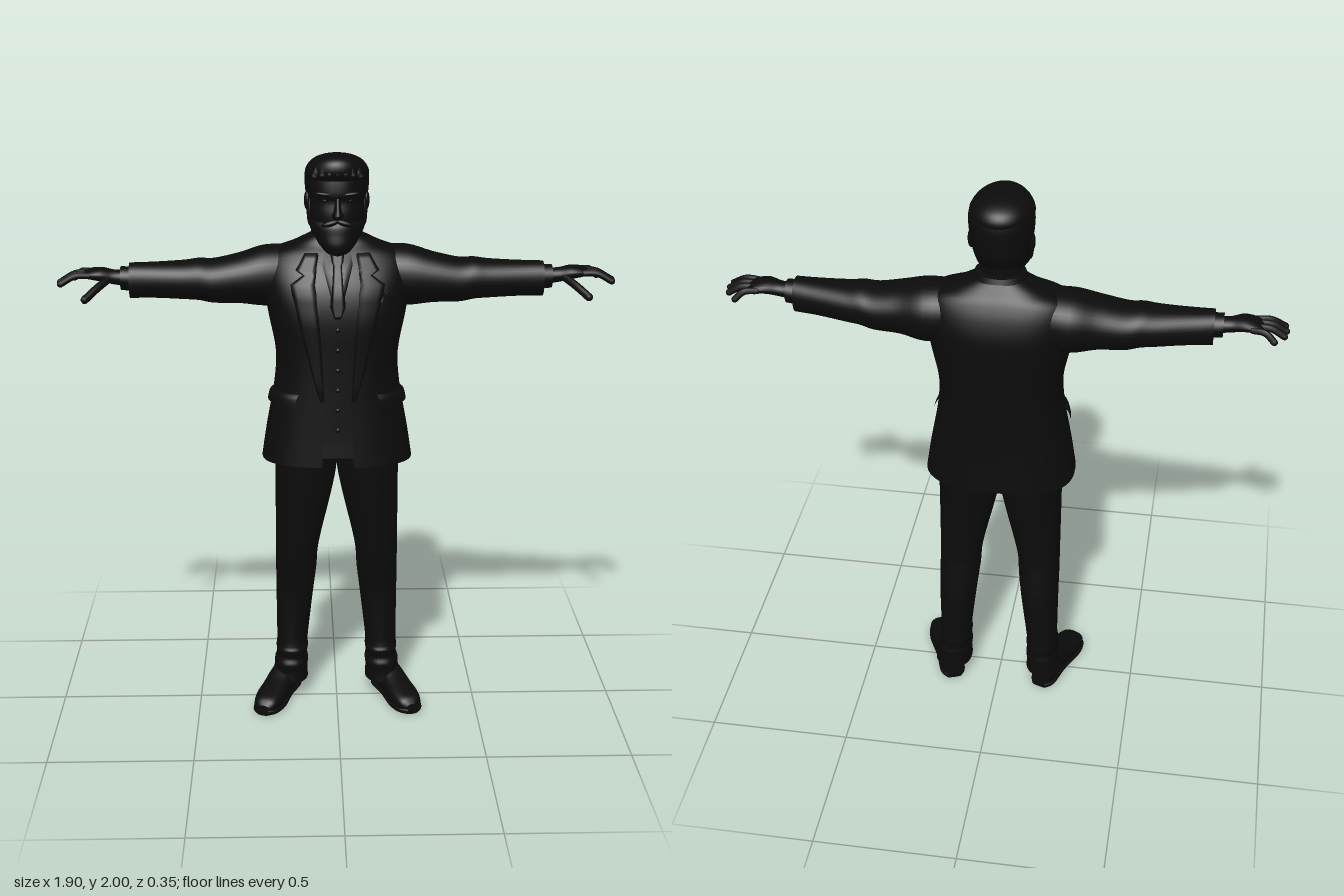
import * as THREE from 'three';
import { mergeGeometries } from 'three/addons/utils/BufferGeometryUtils.js';

const TAU = Math.PI * 2;
const spow = (v, p) => Math.sign(v) * Math.abs(v) ** p;
const cubic = (a, b, c, d, t) =>
  b + 0.5 * t * (c - a + t * (2 * a - 5 * b + 4 * c - d + t * (3 * (b - c) + d - a)));

// Skin over smooth cross-sections [t, c1, c2, r1, r2].
// axis y: c1=x c2=z; axis x: c1=z c2=y; axis z: c1=y c2=x. The arc a0..a1 may be open.
function loft(axis, rows, { e = 2, n = 36, steps = 4, a0 = 0, a1 = TAU } = {}) {
  const rings = [];
  for (let i = 0; i < rows.length - 1; i++) {
    const at = k => rows[Math.min(Math.max(k, 0), rows.length - 1)];
    for (let s = 0; s < steps; s++)
      rings.push(rows[i].map((_, k) => cubic(at(i - 1)[k], at(i)[k], at(i + 1)[k], at(i + 2)[k], s / steps)));
  }
  rings.push(rows[rows.length - 1]);
  const closed = a1 - a0 > TAU - 0.001, w = closed ? n : n + 1;
  const pos = [], idx = [];
  const put = (t, u, v) => pos.push(...(axis === 'y' ? [u, t, v] : axis === 'x' ? [t, v, u] : [v, u, t]));
  const ring = ([t, c1, c2, r1, r2]) => {
    for (let i = 0; i < w; i++) {
      const a = a0 + (a1 - a0) * i / n;
      put(t, c1 + Math.max(r1, 0) * spow(Math.sin(a), 2 / e), c2 + Math.max(r2, 0) * spow(Math.cos(a), 2 / e));
    }
  };
  rings.forEach(ring);
  for (let j = 0; j < rings.length - 1; j++)
    for (let i = 0; i < n; i++) {
      const p = j * w + i, q = j * w + (i + 1) % w;
      idx.push(p, q, q + w, p, q + w, p + w);
    }
  // flat ends on closed skins
  if (closed) for (const [r, up] of [[rings[0], false], [rings[rings.length - 1], true]]) {
    const base = pos.length / 3;
    ring(r);
    put(r[0], r[1], r[2]);
    for (let i = 0; i < n; i++) {
      const p = base + i, q = base + (i + 1) % n;
      idx.push(...(up ? [p, q, base + n] : [q, p, base + n]));
    }
  }
  return build(pos, idx);
}

function build(pos, idx) {
  const g = new THREE.BufferGeometry();
  g.setAttribute('position', new THREE.Float32BufferAttribute(pos, 3));
  g.setIndex(idx);
  g.computeVertexNormals();
  return g;
}

function mirrored(geo) {
  const g = geo.clone().scale(-1, 1, 1), ix = g.index;
  for (let i = 0; i < ix.count; i += 3) {
    const b = ix.getX(i + 1);
    ix.setX(i + 1, ix.getX(i + 2));
    ix.setX(i + 2, b);
  }
  return g;
}

// Tapered-looking tube with round ends
function cord(points, r) {
  const v = points.map(p => new THREE.Vector3(...p));
  const ball = p => new THREE.SphereGeometry(r, 10, 8).translate(p.x, p.y, p.z);
  return mergeGeometries([
    new THREE.TubeGeometry(new THREE.CatmullRomCurve3(v), 12, r, 10), ball(v[0]), ball(v[v.length - 1])]);
}

const blob = (x, y, z, rx, ry, rz, turn = 0) =>
  new THREE.SphereGeometry(1, 20, 14).scale(rx, ry, rz).rotateZ(turn).translate(x, y, z);

// Jacket cross-sections, also used to place details on the chest
const E = 2.6;
const torso = [
  [0.94, 0, 0, 0.262, 0.178], [1.05, 0, 0, 0.245, 0.173], [1.2, 0, 0, 0.218, 0.169],
  [1.32, 0, 0, 0.211, 0.168], [1.45, 0, -0.003, 0.235, 0.171], [1.54, 0, -0.012, 0.25, 0.163],
  [1.61, 0, -0.022, 0.25, 0.138], [1.66, 0, -0.03, 0.225, 0.108], [1.69, 0, -0.033, 0.15, 0.085],
  [1.72, 0, -0.03, 0.088, 0.068]];
function chestZ(x, y) {
  let i = 0;
  while (i < torso.length - 2 && torso[i + 1][0] < y) i++;
  const a = torso[i], b = torso[i + 1], t = (y - a[0]) / (b[0] - a[0]);
  const [, , cz, rx, rz] = a.map((v, k) => v + (b[k] - v) * t);
  return cz + rz * Math.max(0, 1 - Math.abs(x / rx) ** E) ** (1 / E);
}

// Thin cloth lying on the chest; rows are [y, inner x, outer x]
function cloth(rows, lift) {
  const pos = [], idx = [], n = 8, sub = 6, m = (rows.length - 1) * sub;
  for (let j = 0; j <= m; j++) {
    const k = Math.min(Math.floor(j / sub), rows.length - 2), t = j / sub - k;
    const [y, x0, x1] = rows[k].map((v, c) => v + (rows[k + 1][c] - v) * t);
    for (let i = 0; i <= n; i++) {
      const x = x0 + (x1 - x0) * i / n, edge = i === 0 || i === n || j === 0 || j === m;
      pos.push(x, y, chestZ(x, y) + (edge ? -0.004 : lift));
      if (i < n && j < m) {
        const p = j * (n + 1) + i;
        idx.push(p, p + 1, p + n + 2, p, p + n + 2, p + n + 1);
      }
    }
  }
  return build(pos, idx);
}

export function createModel() {
  const model = new THREE.Group();
  model.name = 'suitedMan';
  const black = new THREE.MeshStandardMaterial({ color: 0x0b0b0b, side: THREE.DoubleSide });
  black.name = 'near black';
  const add = (name, geo) => {
    const m = new THREE.Mesh(geo, black);
    m.name = name;
    model.add(m);
  };
  const pair = (name, geo) => {
    add('left' + name, geo);
    add('right' + name, mirrored(geo));
  };

  // Jacket, open down the front, over a waistcoat
  add('jacket', loft('y', torso, { e: E, n: 64, a0: 0.13, a1: TAU - 0.13 }));
  add('waistcoat', loft('y', torso.map(([y, x, z, a, b], i) => [y + (i ? 0 : 0.03), x, z, a - 0.012, b - 0.012]), { e: E, n: 48 }));
  pair('Lapel', cloth([[1.16, 0.045, 0.06], [1.4, 0.055, 0.125], [1.57, 0.07, 0.165], [1.6, 0.07, 0.12], [1.615, 0.068, 0.145], [1.67, 0.06, 0.11]], 0.009));
  add('shirtFront', cloth([[1.47, -0.006, 0.006], [1.68, -0.065, 0.065]], 0.002));
  add('tie', cloth([[1.46, -0.012, 0.012], [1.5, -0.026, 0.026], [1.63, -0.016, 0.016], [1.64, -0.022, 0.022], [1.675, -0.026, 0.026]], 0.01));
  add('collar', loft('y', [[1.67, 0, -0.022, 0.115, 0.092], [1.71, 0, -0.02, 0.095, 0.078], [1.735, 0, -0.018, 0.084, 0.07]], { n: 40 }));
  for (let i = 0; i < 6; i++) {
    const y = 1.07 + i * 0.07;
    add('waistcoatButton', blob(0, y, chestZ(0, y) - 0.009, 0.008, 0.008, 0.005));
  }
  pair('PocketFlap', loft('y', [[1.15, 0, 0, 0.24, 0.181], [1.18, 0, 0, 0.232, 0.178], [1.195, 0, 0, 0.216, 0.167]], { e: E, a0: 0.55, a1: 1.55 }));
  add('breastPocketSquare', cloth([[1.5, 0.14, 0.19], [1.515, 0.14, 0.19], [1.55, 0.16, 0.168]], 0.006));

  // Sleeves, cuffs and hands
  pair('Sleeve', loft('x', [
    [0.13, -0.03, 1.575, 0.1, 0.1], [0.24, -0.03, 1.573, 0.113, 0.104], [0.33, -0.017, 1.567, 0.102, 0.086],
    [0.42, -0.012, 1.559, 0.094, 0.075], [0.47, -0.008, 1.565, 0.087, 0.071], [0.52, -0.005, 1.564, 0.08, 0.066],
    [0.62, 0.003, 1.565, 0.065, 0.061], [0.705, 0.01, 1.565, 0.055, 0.06]], { e: 2.2 }));
  pair('ShirtCuff', loft('x', [[0.69, 0.012, 1.57, 0.045, 0.042], [0.735, 0.012, 1.573, 0.043, 0.04]]));
  pair('Palm', loft('x', [
    [0.72, 0.012, 1.574, 0.033, 0.027], [0.76, 0.014, 1.578, 0.033, 0.025], [0.8, 0.014, 1.587, 0.044, 0.024],
    [0.84, 0.007, 1.588, 0.047, 0.018], [0.865, 0.005, 1.586, 0.034, 0.009]], { n: 24 }));
  for (const [z, tipX, tipZ] of [[0.042, 0.936, 0.056], [0.018, 0.94, 0.023], [-0.006, 0.934, -0.013], [-0.03, 0.902, -0.054]])
    pair('Finger', cord([[0.83, 1.587, z], [(0.84 + tipX) / 2, 1.587, (z + tipZ) / 2], [tipX, 1.562, tipZ]], 0.0115));
  pair('Thumb', cord([[0.775, 1.575, 0.035], [0.81, 1.553, 0.09], [0.846, 1.525, 0.137]], 0.0135));

  // Trousers with folds above the ankle
  pair('TrouserLeg', loft('y', [
    [0.06, 0.174, -0.05, 0.068, 0.082], [0.1, 0.168, -0.052, 0.06, 0.082], [0.13, 0.166, -0.05, 0.061, 0.086],
    [0.155, 0.164, -0.052, 0.055, 0.08], [0.185, 0.163, -0.05, 0.058, 0.086], [0.22, 0.162, -0.053, 0.056, 0.081],
    [0.4, 0.152, -0.055, 0.067, 0.085], [0.5, 0.146, -0.04, 0.073, 0.09], [0.6, 0.141, -0.027, 0.077, 0.093],
    [0.8, 0.118, -0.02, 0.1, 0.11], [0.9, 0.109, -0.02, 0.109, 0.12], [1.02, 0.107, -0.02, 0.112, 0.13]], { e: 2.3 }));

  // Shoes, toes turned out
  const place = g => g.rotateY(0.35).translate(0.165, 0, -0.118);
  pair('Shoe', place(loft('z', [
    [0, 0.04, 0, 0.036, 0.034], [0.03, 0.052, 0, 0.05, 0.046], [0.1, 0.056, 0, 0.055, 0.047],
    [0.17, 0.044, 0, 0.042, 0.051], [0.23, 0.036, 0, 0.034, 0.053], [0.28, 0.029, 0, 0.027, 0.042],
    [0.3, 0.022, 0, 0.014, 0.02]], { e: 2.4 })));
  pair('ShoeSole', place(loft('z', [
    [-0.006, 0.01, 0, 0.01, 0.028], [0.03, 0.01, 0, 0.01, 0.047], [0.12, 0.01, 0, 0.01, 0.046],
    [0.22, 0.01, 0, 0.01, 0.056], [0.28, 0.01, 0, 0.01, 0.046], [0.306, 0.01, 0, 0.01, 0.02]], { e: 4 })));

  // Head and face
  add('neck', loft('y', [[1.64, 0, -0.015, 0.078, 0.066], [1.72, 0, -0.008, 0.072, 0.06], [1.8, 0, 0, 0.072, 0.07]]));
  add('head', loft('y', [
    [1.7, 0, 0.06, 0.05, 0.05], [1.74, 0, 0.038, 0.08, 0.085], [1.8, 0, 0.02, 0.095, 0.108],
    [1.845, 0, 0.012, 0.096, 0.11], [1.87, 0, 0.014, 0.1, 0.114], [1.92, 0, 0.012, 0.1, 0.11],
    [1.96, 0, 0.015, 0.085, 0.095], [1.985, 0, 0.03, 0.05, 0.055]], { e: 2.2 }));
  add('nose', loft('y', [
    [1.79, 0, 0.13, 0.012, 0.018], [1.803, 0, 0.13, 0.02, 0.036], [1.82, 0, 0.125, 0.013, 0.032],
    [1.86, 0, 0.115, 0.009, 0.022]], { n: 16 }));
  pair('Eye', blob(0.038, 1.85, 0.104, 0.016, 0.009, 0.012));
  pair('Brow', blob(0.042, 1.872, 0.114, 0.032, 0.008, 0.014, 0.12));
  pair('Ear', blob(0.099, 1.835, 0, 0.012, 0.034, 0.021));

  // Beard and moustache
  add('beard', loft('y', [
    [1.663, 0, 0.1, 0.008, 0.008], [1.674, 0, 0.1, 0.036, 0.034], [1.7, 0, 0.088, 0.06, 0.056],
    [1.735, 0, 0.058, 0.083, 0.082], [1.765, 0, 0.042, 0.095, 0.093], [1.785, 0, 0.04, 0.09, 0.08]]));
  pair('Moustache', blob(0.024, 1.778, 0.131, 0.032, 0.011, 0.016, -0.28));
  pair('Sideburn', blob(0.092, 1.805, 0.035, 0.01, 0.05, 0.02));

  // Hair: back and sides, then a swept-back top
  add('hairBack', loft('y', [
    [1.755, 0, 0.015, 0.076, 0.078], [1.8, 0, 0.008, 0.094, 0.102], [1.87, 0, 0.005, 0.106, 0.108],
    [1.93, 0, 0.008, 0.108, 0.108], [1.965, 0, 0.015, 0.092, 0.092]], { a0: 1.5, a1: TAU - 1.5 }));
  add('hairTop', loft('y', [
    [1.915, 0, 0.012, 0.104, 0.113], [1.94, 0, 0.018, 0.107, 0.12], [1.965, 0, 0.025, 0.094, 0.112],
    [1.983, 0, 0.035, 0.072, 0.09], [1.994, 0, 0.045, 0.04, 0.055], [1.997, 0, 0.055, 0, 0]]));
  for (let i = -3; i <= 3; i++) {
    const x = i * 0.022, drop = i * i * 0.0028;
    add('hairLock', cord([
      [x * 1.15, 1.938 - drop * 0.4, 0.126 - drop], [x, 1.972 - drop, 0.118 - drop * 0.8],
      [x, 1.987 - drop, 0.075], [x, 1.982 - drop, 0.02]], 0.013));
  }
  return model;
}
